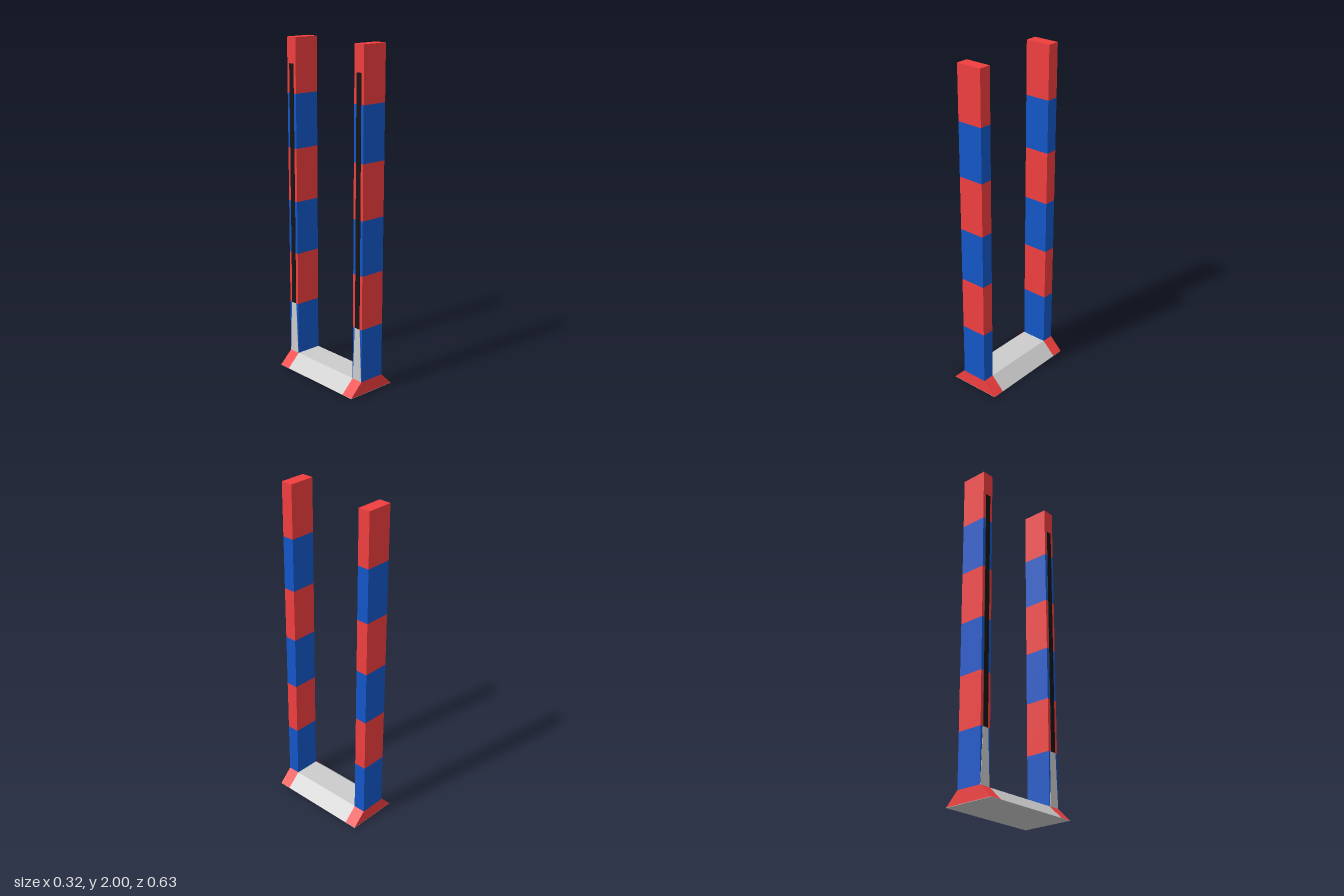
import * as THREE from 'three';

const mat = (color) => new THREE.MeshStandardMaterial({ color, flatShading: true });
const red = mat(0xf03e3e), blue = mat(0x1456c8), grey = mat(0xcccccc), black = mat(0x151515);

const HALF = 0.08;      // half width of a post
const FOOT = 0.16;      // half width of the base at the floor
const BASE_H = 0.08;
const INNER = 0.243, OUTER = 0.317;
const DEPTH = OUTER - INNER;

function add(parent, name, geometry, material, x = 0, y = 0, z = 0) {
  const mesh = new THREE.Mesh(geometry, material);
  mesh.name = name;
  mesh.position.set(x, y, z);
  parent.add(mesh);
  return mesh;
}

function polygon(points) {
  return new THREE.Shape(points.map(([x, y]) => new THREE.Vector2(x, y)));
}

// Length of the sloped base, centred on z = 0
function baseSection(length) {
  const floor = 0.002;
  const shape = polygon([[-FOOT, floor], [FOOT, floor], [HALF, BASE_H], [-HALF, BASE_H]]);
  return new THREE.ExtrudeGeometry(shape, { depth: length, bevelEnabled: false })
    .translate(0, 0, -length / 2);
}

// Thin panel on the -x side of a post
function sidePanel(points) {
  return new THREE.ExtrudeGeometry(polygon(points), { depth: 0.002, bevelEnabled: false })
    .rotateY(-Math.PI / 2);
}

// Striped post standing on its red base end
function createPost(name, z) {
  const post = new THREE.Group();
  post.name = name;
  post.position.z = z;
  add(post, 'baseEnd', baseSection(DEPTH), red);

  const bands = 6, h = (2 - BASE_H) / bands;
  for (let i = 0; i < bands; i++) {
    add(post, 'band' + (i + 1), new THREE.BoxGeometry(HALF * 2, h, DEPTH),
      i % 2 ? red : blue, 0, BASE_H + h * (i + 0.5));
  }

  // Dark strip with a tapered grey cover below it
  add(post, 'darkStrip', sidePanel([[-0.018, 0.4], [0.018, 0.4], [0.018, 1.85], [-0.018, 1.85]]),
    black, -HALF);
  add(post, 'lowerCover', sidePanel([[-0.034, BASE_H], [0.034, BASE_H], [0.02, 0.4], [-0.02, 0.4]]),
    grey, -HALF);
  return post;
}

export function createModel() {
  const model = new THREE.Group();
  model.name = 'stripedGate';

  // Floor plate and sloped threshold between the posts
  add(model, 'floorPlate', new THREE.BoxGeometry(FOOT * 2, 0.002, OUTER * 2), grey, 0, 0.001, 0);
  add(model, 'threshold', baseSection(INNER * 2), grey);

  const z = (INNER + OUTER) / 2;
  model.add(createPost('frontPost', z), createPost('backPost', -z));
  return model;
}
